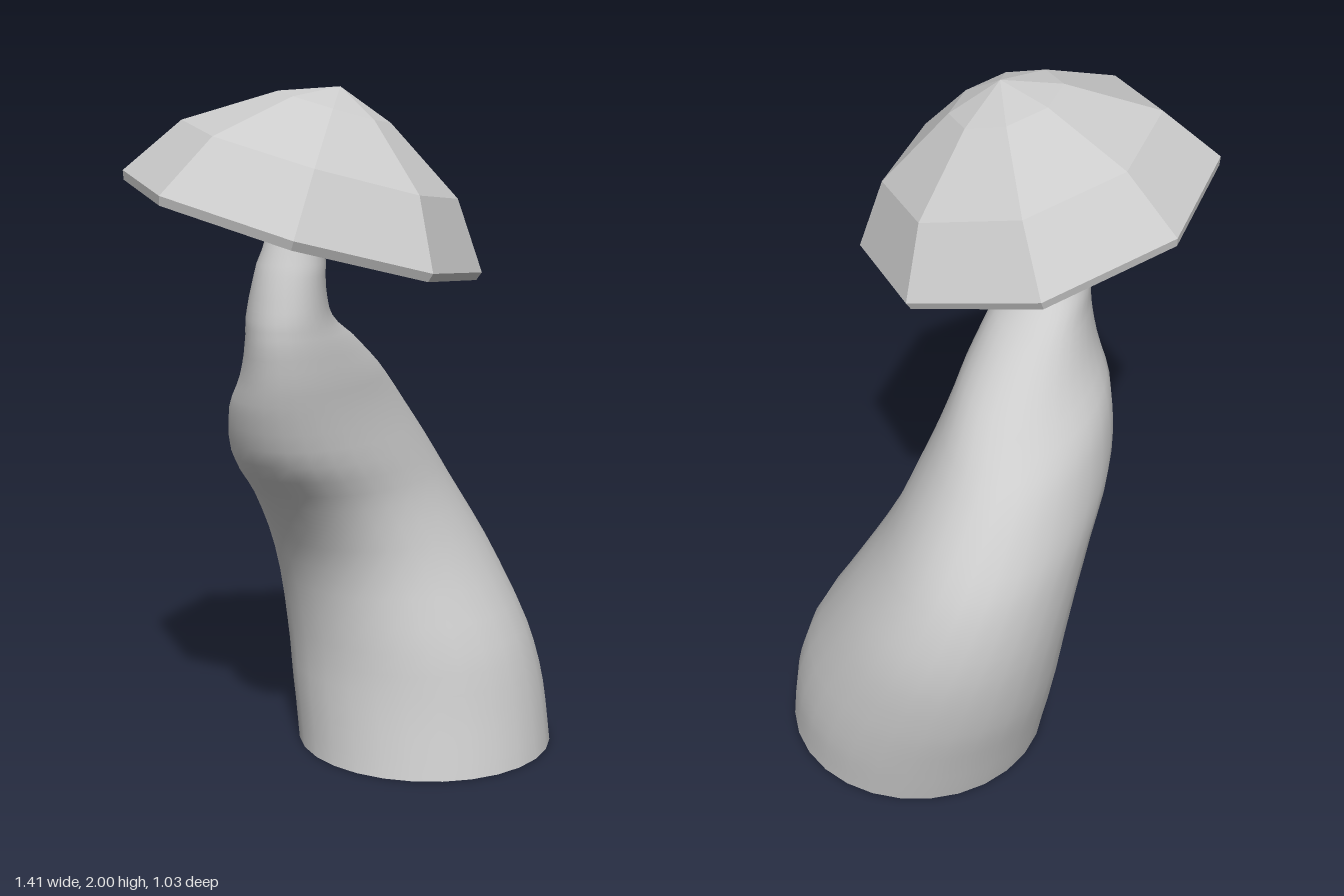
import * as THREE from 'three';
import { mergeVertices, mergeGeometries } from 'three/addons/utils/BufferGeometryUtils.js';

const v2 = (r, h) => new THREE.Vector2(r, h);

// Bent stem: an open cylinder whose rings become sheared ellipses
function createStem() {
  // y, xMin, xMax, zMin, zMax, skew of the ellipse towards the bend
  const rings = [
    [0, -0.09, 0.69, -0.38, 0.41, 0],
    [0.18, -0.07, 0.70, -0.43, 0.37, 0],
    [0.36, -0.06, 0.69, -0.48, 0.32, -0.05],
    [0.6, -0.09, 0.65, -0.515, 0.2, -0.15],
    [0.8, -0.2, 0.57, -0.51, 0.135, -0.28],
    [0.95, -0.33, 0.47, -0.475, 0.135, -0.36],
    [1.1, -0.38, 0.33, -0.4, 0.135, -0.42],
    [1.2, -0.39, 0.19, -0.28, 0.14, -0.42],
    [1.3, -0.395, 0.03, -0.19, 0.14, -0.38],
    [1.37, -0.39, -0.09, -0.145, 0.135, -0.3],
    [1.46, -0.37, -0.145, -0.1, 0.125, -0.15],
    [1.56, -0.335, -0.16, -0.065, 0.11, 0],
    [1.72, -0.27, -0.13, -0.04, 0.09, 0],
    [1.88, -0.2, -0.12, 0.02, 0.09, 0],
  ];
  const centres = new THREE.CatmullRomCurve3(rings.map(([y, x0, x1, z0, z1]) =>
    new THREE.Vector3((x0 + x1) / 2, y, (z0 + z1) / 2)));
  const extents = new THREE.CatmullRomCurve3(rings.map(([, x0, x1, z0, z1, skew]) =>
    new THREE.Vector3((x1 - x0) / 2, (z1 - z0) / 2, skew)));

  let geo = new THREE.CylinderGeometry(1, 1, 1, 28, 39, true);
  geo.deleteAttribute('uv');
  geo.deleteAttribute('normal');
  const pos = geo.attributes.position;
  for (let i = 0; i < pos.count; i++) {
    const t = THREE.MathUtils.clamp(pos.getY(i) + 0.5, 0, 1);
    const c = centres.getPoint(t);
    const e = extents.getPoint(t);
    const angle = Math.atan2(pos.getZ(i), pos.getX(i));
    pos.setXYZ(i, c.x + e.x * Math.cos(angle), c.y, c.z + e.y * Math.sin(angle + Math.asin(e.z)));
  }
  geo = mergeVertices(geo, 1e-4);
  geo.computeVertexNormals();
  const stem = new THREE.Mesh(geo, new THREE.MeshStandardMaterial({ color: 0xcccccc, side: THREE.DoubleSide }));
  stem.name = 'stem';
  return stem;
}

// Eight-sided faceted cap with a thin lip and a hollow underside
function createCapShell(material) {
  const profile = [
    v2(0, 0.29), v2(0.15, 0.26), v2(0.375, 0.13), v2(0.488, -0.022),
    v2(0.508, -0.025), v2(0.517, 0), v2(0.395, 0.177), v2(0.16, 0.325), v2(0, 0.382),
  ];
  const shell = new THREE.Mesh(new THREE.LatheGeometry(profile, 8), material);
  shell.name = 'capShell';
  return shell;
}

// Thin radial blades under the cap, trimmed to the octagon
function createGills(material) {
  const count = 56;
  const thickness = 0.008;
  const blades = [];
  for (let i = 0; i < count; i++) {
    const angle = (i / count) * Math.PI * 2;
    const toCorner = (angle % (Math.PI / 4)) - Math.PI / 8;
    const k = Math.cos(Math.PI / 8) / Math.cos(toCorner);
    const blade = new THREE.Shape([
      v2(0.06, 0.1), v2(0.28 * k, 0.035), v2(0.478 * k, -0.012), v2(0.375 * k, 0.132), v2(0.15 * k, 0.262), v2(0.06, 0.275),
    ]);
    const geo = new THREE.ExtrudeGeometry(blade, { depth: thickness, bevelEnabled: false });
    geo.translate(0, 0, -thickness / 2);
    geo.rotateY(angle);
    blades.push(geo);
  }
  const gills = new THREE.Mesh(mergeGeometries(blades), material);
  gills.name = 'gills';
  return gills;
}

export function createModel() {
  const model = new THREE.Group();
  model.name = 'mushroom';
  model.add(createStem());

  // Cap tilted forwards and to its left
  const material = new THREE.MeshStandardMaterial({ color: 0xcccccc, flatShading: true, side: THREE.DoubleSide });
  const cap = new THREE.Group();
  cap.name = 'cap';
  cap.add(createCapShell(material), createGills(material));
  cap.position.set(-0.197, 1.633, 0.007);
  cap.quaternion.setFromUnitVectors(new THREE.Vector3(0, 1, 0), new THREE.Vector3(0.19, 1, 0.21).normalize());
  model.add(cap);
  return model;
}
